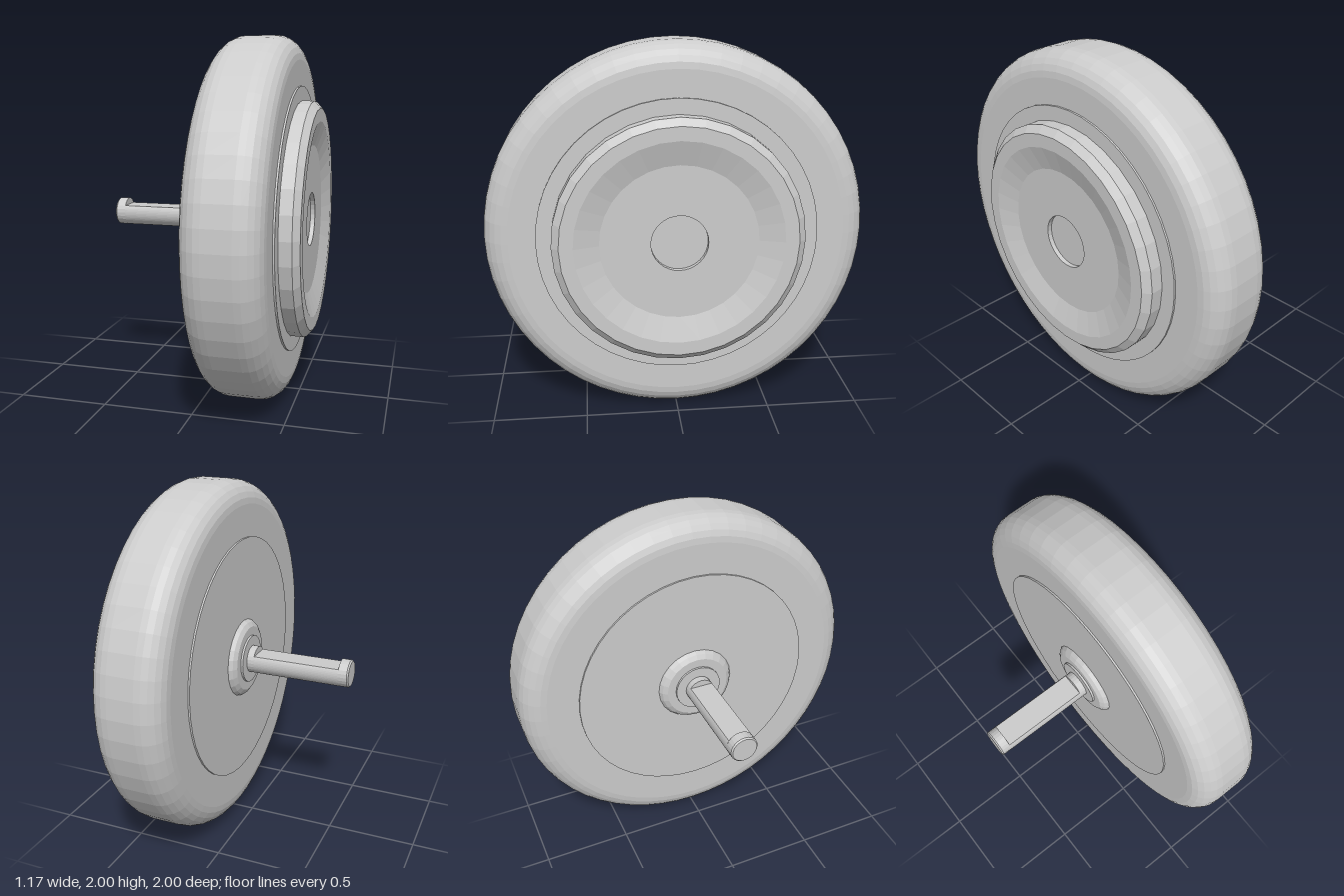
import * as THREE from 'three';

const material = new THREE.MeshStandardMaterial({ color: 0xcccccc, flatShading: true });
const SHAFT_R = 0.077;
const FLAT_Y = 0.04;

function addMesh(group, name, geometry) {
  const mesh = new THREE.Mesh(geometry, material);
  mesh.name = name;
  group.add(mesh);
}

// Turned part about the x axis; profile is [x, radius] from low x to high x
function turned(group, name, profile, sides) {
  const points = profile.map(([x, r]) => new THREE.Vector2(r, x));
  const geometry = new THREE.LatheGeometry(points, sides);
  geometry.rotateZ(-Math.PI / 2);
  addMesh(group, name, geometry);
}

// Quarter-round corner of the tyre profile
function corner(cx, cr, radius, from, to, steps = 6) {
  return Array.from({ length: steps + 1 }, (_, i) => {
    const a = from + (to - from) * i / steps;
    return [cx + radius * Math.cos(a), cr + radius * Math.sin(a)];
  });
}

export function createModel() {
  const model = new THREE.Group();
  const wheel = new THREE.Group();
  wheel.name = 'wheel';
  wheel.position.y = 1;
  model.add(wheel);

  // Tyre with rounded shoulders
  turned(wheel, 'tyre', [
    [0.062, 0],
    ...corner(0.192, 0.87, 0.13, Math.PI, Math.PI / 2),
    ...corner(0.342, 0.87, 0.13, Math.PI / 2, 0),
    [0.472, 0],
  ], 56);

  // Thin plates on both faces
  turned(wheel, 'innerPlate', [[0.052, 0], [0.052, 0.69], [0.07, 0.69]], 48);
  turned(wheel, 'outerPlate', [[0.46, 0.73], [0.482, 0.73], [0.482, 0]], 48);

  // Dished hub cap with a shallow centre recess
  turned(wheel, 'hubCap', [
    [0.482, 0.65], [0.55, 0.65], [0.584, 0.612], [0.584, 0.54],
    [0.545, 0.41], [0.545, 0.148], [0.52, 0.148], [0.52, 0],
  ], 32);

  // Bevelled boss and collar around the shaft
  turned(wheel, 'boss', [[0.014, 0], [0.014, 0.185], [0.03, 0.21], [0.054, 0.225]], 24);
  turned(wheel, 'collar', [[0.002, 0], [0.002, 0.135], [0.02, 0.135]], 24);

  // Shaft: round ends and a D-shaped middle with its flat on top
  turned(wheel, 'shaftTip', [
    [-0.588, 0], [-0.588, 0.07], [-0.58, SHAFT_R], [-0.53, SHAFT_R], [-0.53, 0],
  ], 24);
  turned(wheel, 'shaftRoot', [
    [-0.038, 0], [-0.038, SHAFT_R], [0.02, SHAFT_R],
  ], 24);
  const a = Math.asin(FLAT_Y / SHAFT_R);
  const section = new THREE.Shape();
  section.absarc(0, 0, SHAFT_R, Math.PI - a, 2 * Math.PI + a, false);
  section.closePath();
  const bar = new THREE.ExtrudeGeometry(section, { depth: 0.492, bevelEnabled: false, curveSegments: 18 });
  bar.rotateY(Math.PI / 2).translate(-0.53, 0, 0);
  addMesh(wheel, 'shaft', bar);

  return model;
}
